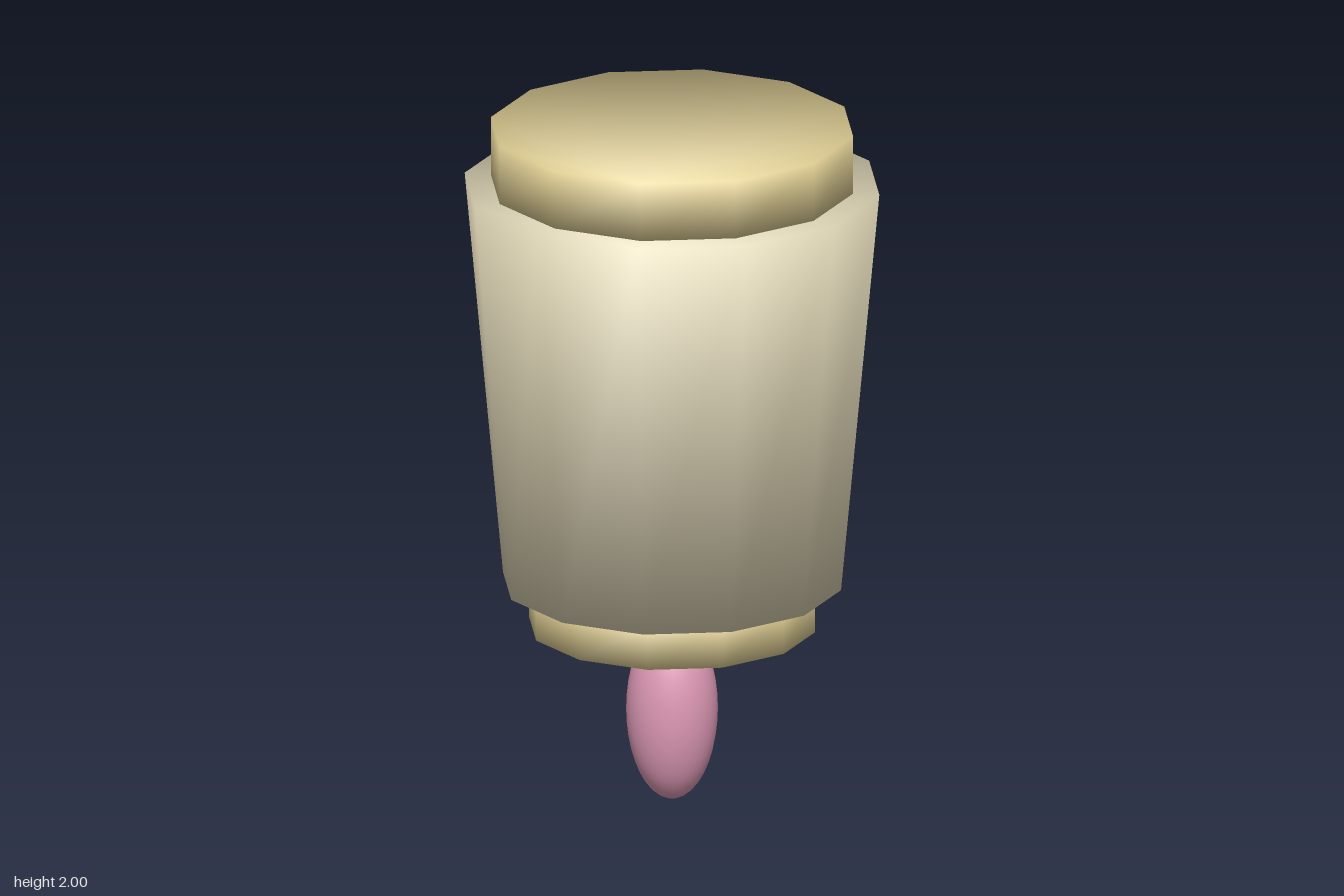
import * as THREE from 'three';

const SIDES = 12;

// Closed twelve-sided drum with softly averaged rim normals
function drumGeometry(rBottom, rTop, y0, y1) {
  const positions = [], normals = [], index = [];
  const slope = (rBottom - rTop) / (y1 - y0);
  for (const [r, y, lean] of [[rBottom, y0, -0.87], [rTop, y1, 0.87]]) {
    for (let i = 0; i < SIDES; i++) {
      const a = (i / SIDES) * Math.PI * 2;
      const n = new THREE.Vector3(Math.sin(a), lean + slope, Math.cos(a)).normalize();
      positions.push(Math.sin(a) * r, y, Math.cos(a) * r);
      normals.push(n.x, n.y, n.z);
    }
  }
  // walls
  for (let i = 0; i < SIDES; i++) {
    const j = (i + 1) % SIDES;
    index.push(i, j, SIDES + j, i, SIDES + j, SIDES + i);
  }
  // flat ends
  for (let i = 1; i < SIDES - 1; i++) {
    index.push(0, i + 1, i);
    index.push(SIDES, SIDES + i, SIDES + i + 1);
  }
  const geometry = new THREE.BufferGeometry();
  geometry.setAttribute('position', new THREE.Float32BufferAttribute(positions, 3));
  geometry.setAttribute('normal', new THREE.Float32BufferAttribute(normals, 3));
  geometry.setIndex(index);
  return geometry;
}

export function createModel() {
  const group = new THREE.Group();
  group.name = 'model';

  const material = (name, color) => {
    const m = new THREE.MeshStandardMaterial({ color });
    m.name = name;
    return m;
  };
  const cream = material('cream', 0xded5b5);
  const straw = material('straw', 0xe0cf94);
  const pink = material('pink', 0xdf9ab6);

  const add = (name, geometry, mat) => {
    const mesh = new THREE.Mesh(geometry, mat);
    mesh.name = name;
    group.add(mesh);
    return mesh;
  };

  // Tapered body with a collar at each end
  add('body', drumGeometry(0.485, 0.595, 0.645, 1.83), cream);
  add('topCollar', drumGeometry(0.52, 0.52, 1.83, 2), straw);
  add('bottomCollar', drumGeometry(0.41, 0.41, 0.515, 0.645), straw);

  // Hanging oval tip
  const tip = add('tip', new THREE.SphereGeometry(1, 32, 20), pink);
  tip.scale.set(0.13, 0.268, 0.13);
  tip.position.y = 0.268;

  return group;
}
